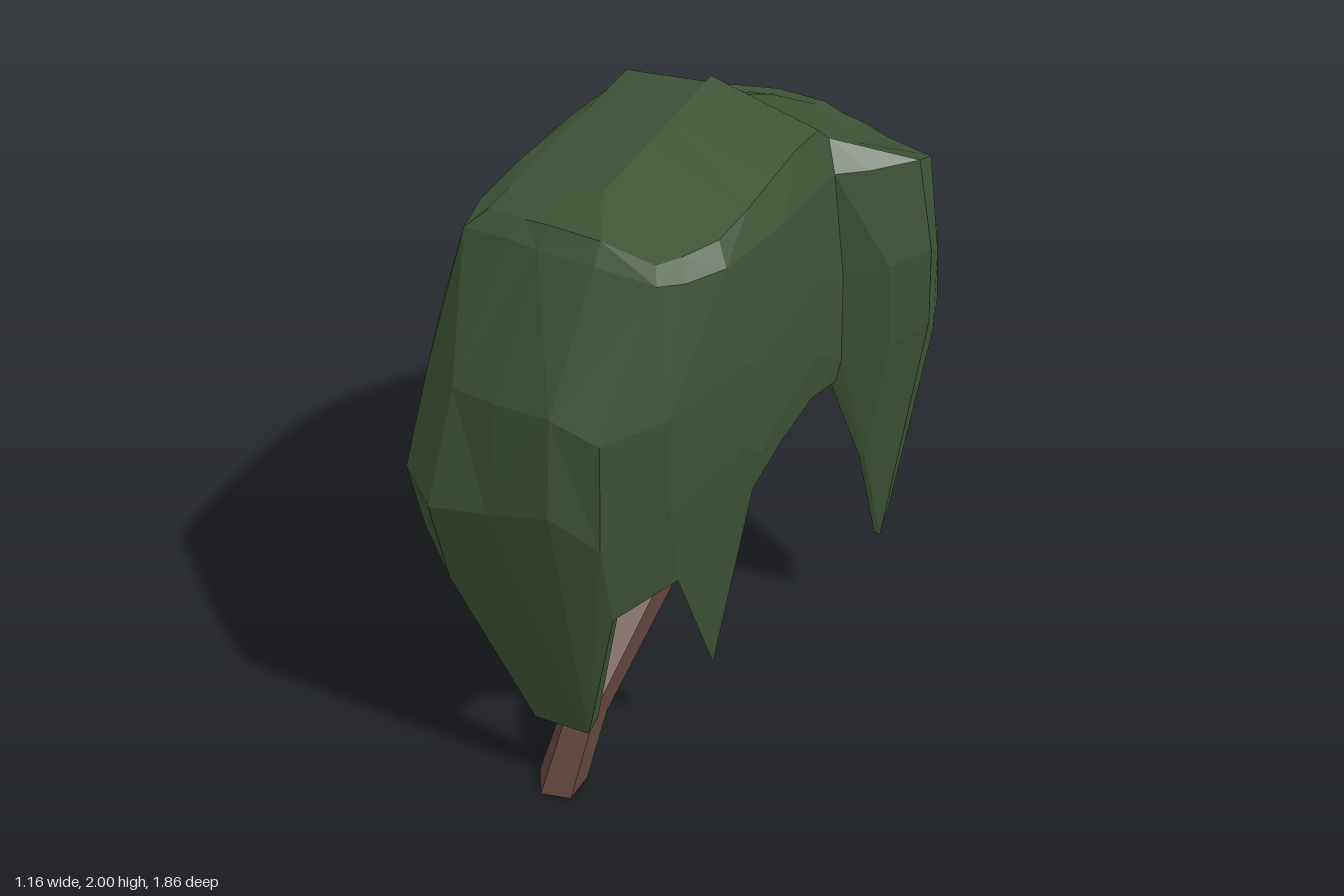
import * as THREE from 'three';

const leafMat = new THREE.MeshStandardMaterial({ color: 0x3e5234, flatShading: true, side: THREE.DoubleSide });
const barkMat = new THREE.MeshStandardMaterial({ color: 0x61443e, flatShading: true, side: THREE.DoubleSide });

// widest outline of the canopy, front -> +x -> back -> -x: [x, z, height of the hanging hem]
const outline = [
  [-0.32, 0.93, 0.85], [-0.13, 0.93, 0.3], [0.05, 0.92, 0.31], [0.17, 0.87, 0.86],
  [0.28, 0.7, 0.92], [0.36, 0.43, 0.38], [0.36, 0.33, 1.02], [0.36, 0.17, 1.07],
  [0.36, -0.04, 1.09], [0.38, -0.17, 1.07], [0.5, -0.24, 0.76], [0.58, -0.34, 0.37],
  [0.56, -0.45, 0.45], [0.53, -0.55, 0.8], [0.38, -0.64, 1.03], [0.25, -0.72, 0.72],
  [0.16, -0.8, 0.95], [0.11, -0.92, 0.54], [-0.14, -0.93, 0.5], [-0.34, -0.86, 0.86],
  [-0.45, -0.72, 0.95], [-0.54, -0.49, 0.9], [-0.58, -0.33, 0.38], [-0.56, -0.18, 0.81],
  [-0.56, 0.12, 0.81], [-0.57, 0.42, 0.38], [-0.53, 0.62, 0.75], [-0.47, 0.82, 0.9],
];
// matching shoulder points just below the crown: [x, y, z]
const shoulder = [
  [-0.19, 1.86, 0.65], [-0.1, 1.86, 0.66], [0.06, 1.86, 0.66], [0.22, 1.84, 0.64],
  [0.26, 1.82, 0.57], [0.31, 1.81, 0.45], [0.32, 1.8, 0.3], [0.33, 1.79, 0.15],
  [0.33, 1.78, 0], [0.33, 1.77, -0.16], [0.4, 1.76, -0.24], [0.5, 1.76, -0.36],
  [0.5, 1.73, -0.45], [0.43, 1.69, -0.53], [0.32, 1.68, -0.58], [0.22, 1.68, -0.63],
  [0.13, 1.68, -0.66], [0.06, 1.68, -0.7], [-0.1, 1.68, -0.71], [-0.2, 1.7, -0.64],
  [-0.28, 1.74, -0.53], [-0.33, 1.81, -0.38], [-0.34, 1.86, -0.27], [-0.34, 1.9, -0.12],
  [-0.34, 1.91, 0.1], [-0.35, 1.89, 0.35], [-0.36, 1.86, 0.52], [-0.34, 1.84, 0.63],
];

// height of the ridge along z
function ridgeY(z) {
  if (z > -0.12) return 2 - 0.11 * (z + 0.12);
  if (z > -0.28) return 2 + 0.8 * (z + 0.12);
  return 1.872 + 0.45 * (z + 0.28);
}

// quads between stacked loops of equal length
function loftLoops(loops) {
  const pos = [];
  const n = loops[0].length;
  for (let r = 0; r < loops.length - 1; r++) {
    for (let i = 0; i < n; i++) {
      const j = (i + 1) % n;
      const a = loops[r][i], b = loops[r][j], c = loops[r + 1][j], d = loops[r + 1][i];
      if ((r + i) % 2) pos.push(...a, ...b, ...c, ...a, ...c, ...d);
      else pos.push(...a, ...b, ...d, ...b, ...c, ...d);
    }
  }
  const g = new THREE.BufferGeometry();
  g.setAttribute('position', new THREE.Float32BufferAttribute(pos, 3));
  g.computeVertexNormals();
  return g;
}

// thick hanging shell with a ceiling inside
function makeCanopy() {
  const inside = [], ceiling = [], inner = [], hem = [], waist = [], upper = [], crown = [], ridge = [];
  outline.forEach(([x, z, h], i) => {
    const [sx, sy, sz] = shoulder[i];
    const front = z > 0.65, back = z < -0.6;
    const wy = (back ? 1.34 : 1.2) + (i % 3 - 1) * 0.05;

    // long strands lean inward: front ones in z, side ones in x
    const lean = 0.11 * (1.2 - h);
    const hx = front || back ? x : x - Math.sign(x) * lean;
    const hz = front ? z - lean * 1.3 : back ? z + lean * 0.2 : z;
    const t = 1 - (front || back ? 0.06 : 0.02) / Math.hypot(hx, hz);
    hem.push([hx, h, hz]);
    inner.push([hx * t, h + 0.01, hz * t]);
    ceiling.push([x * 0.88, 1.14, z * 0.9]);
    inside.push([-0.05, 1.2, THREE.MathUtils.clamp(z * 0.5, -0.35, 0.35)]);

    // bulge between waist and shoulder, slacker towards the -x corners
    let pull = 0.2;
    if (front) pull = 0.17 - 0.58 * x;
    else if (x < -0.3 && z < -0.4) pull = 0.38;
    else if (x < 0 && z > 0.5) pull = 0.35;
    waist.push([x, wy, z]);
    upper.push([x + (sx - x) * pull, wy + (sy - wy) * 0.48, z + (sz - z) * pull]);

    // flat top with a bevelled rim
    const cx = THREE.MathUtils.clamp(sx * 0.88, -0.29, 0.28);
    const cz = sz * 0.93;
    crown.push([cx, ridgeY(cz) - Math.abs(cx) * (cx > 0 ? 0.28 : 0.13), cz]);
    const rz = THREE.MathUtils.clamp(cz * 0.8, -0.5, 0.45);
    ridge.push([-0.03, ridgeY(rz), rz]);
  });
  const mesh = new THREE.Mesh(loftLoops([inside, ceiling, inner, hem, waist, upper, shoulder, crown, ridge]), leafMat);
  mesh.name = 'canopy';
  return mesh;
}

// angular limb swept along [x, y, z, radius] points, with flat ends
function makeLimb(name, pts, sides = 4) {
  const p = pts.map(q => new THREE.Vector3(q[0], q[1], q[2]));
  const loops = pts.map((q, i) => {
    const t = p[Math.min(i + 1, p.length - 1)].clone().sub(p[Math.max(i - 1, 0)]).normalize();
    if (q[1] === 0) t.set(0, 1, 0);
    const u = new THREE.Vector3(1, 0, 0).addScaledVector(t, -t.x).normalize();
    const v = u.clone().cross(t);
    return Array.from({ length: sides }, (_, k) => {
      const a = -(k / sides) * Math.PI * 2 + 0.6;
      return p[i].clone().addScaledVector(u, Math.cos(a) * q[3]).addScaledVector(v, -Math.sin(a) * q[3]).toArray();
    });
  });
  const cap = i => loops[0].map(() => p[i].toArray());
  const mesh = new THREE.Mesh(loftLoops([cap(0), ...loops, cap(p.length - 1)]), barkMat);
  mesh.name = name;
  return mesh;
}

export function createModel() {
  const tree = new THREE.Group();
  tree.name = 'weepingTree';
  tree.add(makeCanopy());

  // leaning trunk and its forks
  tree.add(makeLimb('trunk', [
    [-0.08, 0, 0.765, 0.08], [-0.06, 0.23, 0.63, 0.07], [-0.06, 0.43, 0.24, 0.085],
    [-0.08, 0.6, 0, 0.06], [-0.12, 0.79, -0.24, 0.05], [-0.14, 1.15, -0.5, 0.04],
  ], 5));
  tree.add(makeLimb('frontBranch', [
    [-0.06, 0.45, 0.25, 0.08], [0, 0.7, 0.35, 0.05], [0.02, 0.9, 0.38, 0.04], [-0.06, 1.16, 0.3, 0.04],
  ]));
  tree.add(makeLimb('upperBranch', [
    [-0.11, 0.78, -0.23, 0.05], [-0.02, 0.95, -0.17, 0.05], [0.05, 1.18, -0.11, 0.045],
  ]));
  return tree;
}
